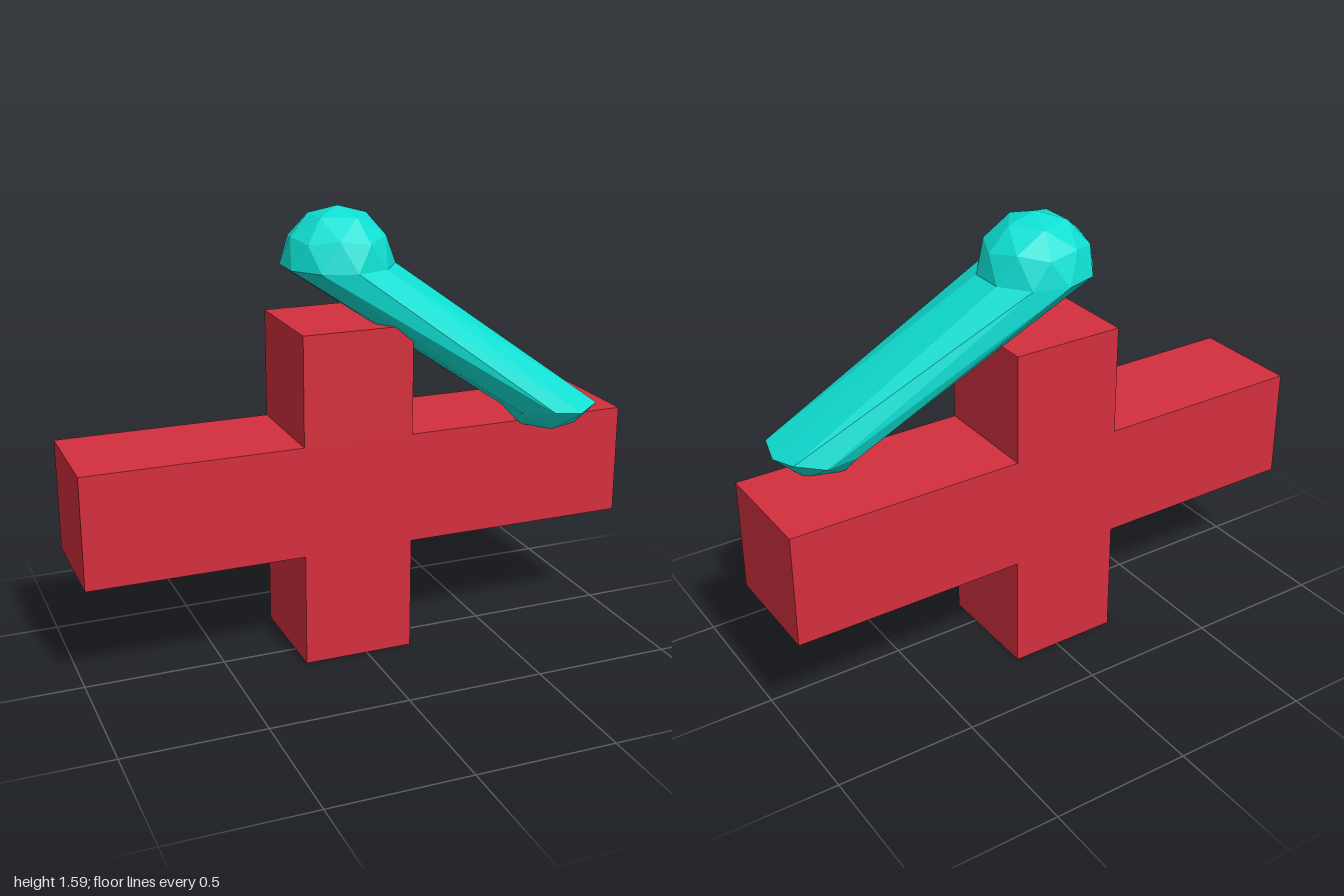
import * as THREE from 'three';

const red = new THREE.MeshStandardMaterial({ color: 0xd32f3d });
red.name = 'red';
const teal = new THREE.MeshStandardMaterial({ color: 0x0fdfd3, flatShading: true });
teal.name = 'teal';

// Solid cross with square-section arms
function makeCross() {
  const [x0, x1, y0, y1] = [-0.23, 0.17, 0.41, 0.81];
  const outline = [
    [x0, 0], [x1, 0], [x1, y0], [1, y0], [1, y1], [x1, y1],
    [x1, 1.2], [x0, 1.2], [x0, y1], [-1, y1], [-1, y0], [x0, y0],
  ].map(([x, y]) => new THREE.Vector2(x, y));
  const geometry = new THREE.ExtrudeGeometry(new THREE.Shape(outline), { depth: 0.4, bevelEnabled: false });
  geometry.translate(0, 0, -0.28);
  const mesh = new THREE.Mesh(geometry, red);
  mesh.name = 'crossBody';
  return mesh;
}

// Faceted ball whose lower half is pulled away into a slanted arm
function makeArm() {
  const geometry = new THREE.IcosahedronGeometry(0.2, 1);
  const golden = (1 + Math.sqrt(5)) / 2;
  geometry.rotateZ(-Math.atan(1 / golden)); // one corner points straight up
  const pos = geometry.attributes.position;
  for (let i = 0; i < pos.count; i++) {
    if (pos.getY(i) < -0.02) {
      pos.setXYZ(i, pos.getX(i) + 0.73, pos.getY(i) - 0.425, pos.getZ(i) + 0.19);
    }
  }
  geometry.computeVertexNormals();
  const mesh = new THREE.Mesh(geometry, teal);
  mesh.position.set(-0.03, 1.39, -0.08);
  mesh.name = 'slantedArm';
  return mesh;
}

export function createModel() {
  const model = new THREE.Group();
  model.name = 'crossWithArm';
  model.add(makeCross(), makeArm());
  return model;
}
